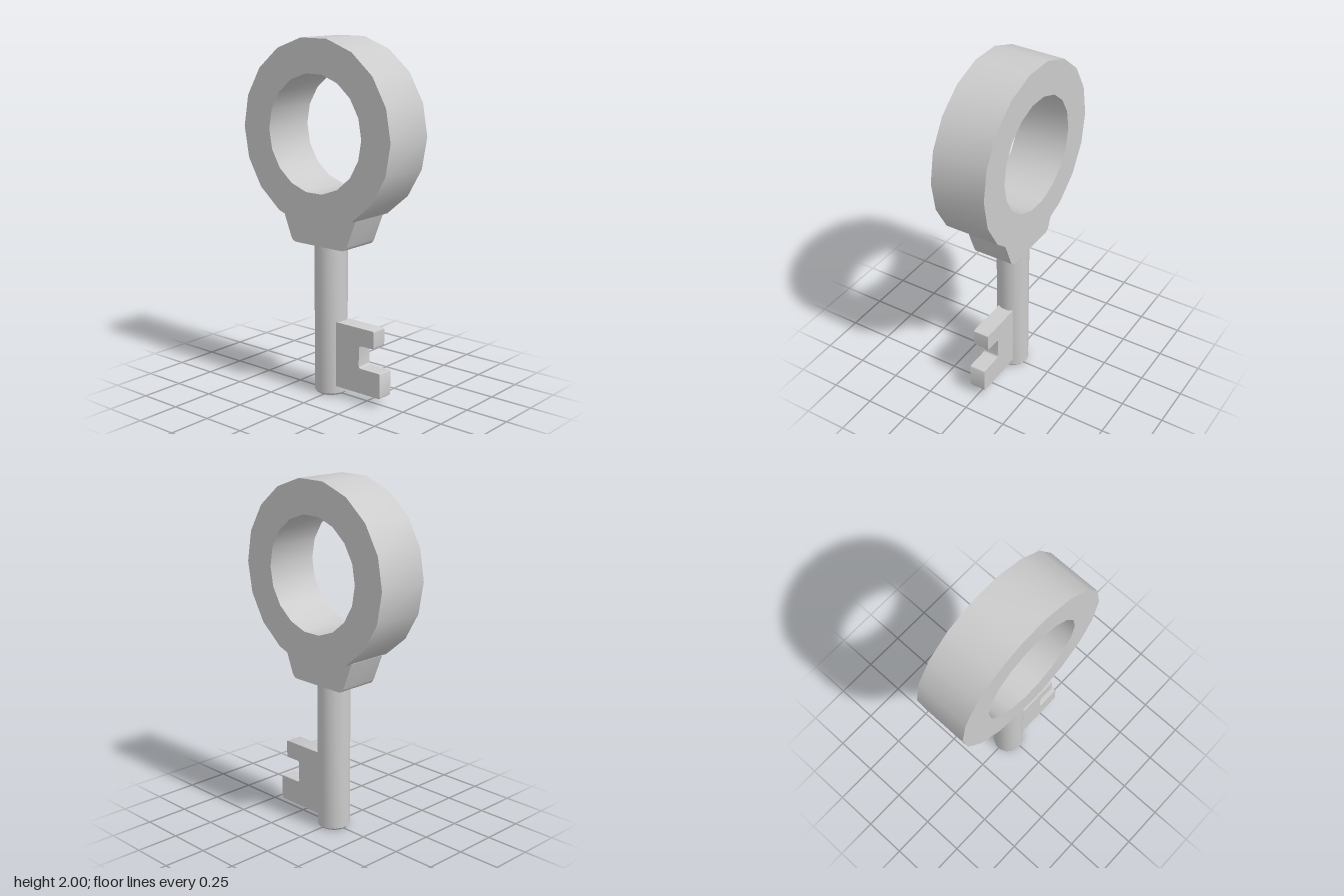
import * as THREE from 'three';
import { toCreasedNormals } from 'three/addons/utils/BufferGeometryUtils.js';

const material = new THREE.MeshStandardMaterial({ color: 0xcccccc });
const CREASE = Math.PI / 5;

// Regular polygon points, first corner on +x
function ngon(radius, sides, cy) {
  return Array.from({ length: sides }, (_, i) => {
    const a = (i / sides) * Math.PI * 2;
    return new THREE.Vector2(Math.cos(a) * radius, cy + Math.sin(a) * radius);
  });
}

// Outline from corners [x, y, rounding]
function roundedShape(corners) {
  const shape = new THREE.Shape();
  const n = corners.length;
  corners.forEach(([x, y, r = 0], i) => {
    const p = new THREE.Vector2(x, y);
    const toward = ([qx, qy]) =>
      new THREE.Vector2(qx, qy).sub(p).setLength(r).add(p);
    const a = r ? toward(corners[(i + n - 1) % n]) : p;
    if (i === 0) shape.moveTo(a.x, a.y);
    else shape.lineTo(a.x, a.y);
    if (r) {
      const b = toward(corners[(i + 1) % n]);
      shape.quadraticCurveTo(x, y, b.x, b.y);
    }
  });
  shape.closePath();
  return shape;
}

// Flat plate centred on z = 0
function plate(name, shape, depth) {
  const geometry = new THREE.ExtrudeGeometry(shape, { depth, bevelEnabled: false, curveSegments: 4 });
  geometry.translate(0, 0, -depth / 2);
  const mesh = new THREE.Mesh(toCreasedNormals(geometry, CREASE), material);
  mesh.name = name;
  return mesh;
}

export function createModel() {
  const key = new THREE.Group();
  key.name = 'key';

  // Faceted ring handle
  const ring = new THREE.Shape(ngon(0.515, 18, 1.493));
  ring.holes.push(new THREE.Path(ngon(0.325, 18, 1.493).reverse()));
  key.add(plate('ringHandle', ring, 0.316));

  // Tapered collar under the ring
  key.add(plate('collar', roundedShape([
    [-0.265, 1.05], [-0.193, 0.87, 0.03], [0.187, 0.87, 0.03], [0.258, 1.05],
  ]), 0.236));

  // Round shaft with a small bevel at the tip
  const profile = [[0, 0], [0.083, 0], [0.093, 0.012], [0.093, 0.92], [0, 0.92]]
    .map(([x, y]) => new THREE.Vector2(x, y));
  const shaft = new THREE.Mesh(
    toCreasedNormals(new THREE.LatheGeometry(profile, 14), CREASE), material);
  shaft.name = 'shaft';
  shaft.position.x = -0.012;
  key.add(shaft);

  // Notched bit
  key.add(plate('bit', roundedShape([
    [0.04, 0.055], [0.375, 0.055, 0.008], [0.375, 0.2, 0.008], [0.228, 0.2, 0.015],
    [0.228, 0.332, 0.015], [0.33, 0.332, 0.008], [0.33, 0.433, 0.008], [0.04, 0.433],
  ]), 0.096));

  return key;
}
